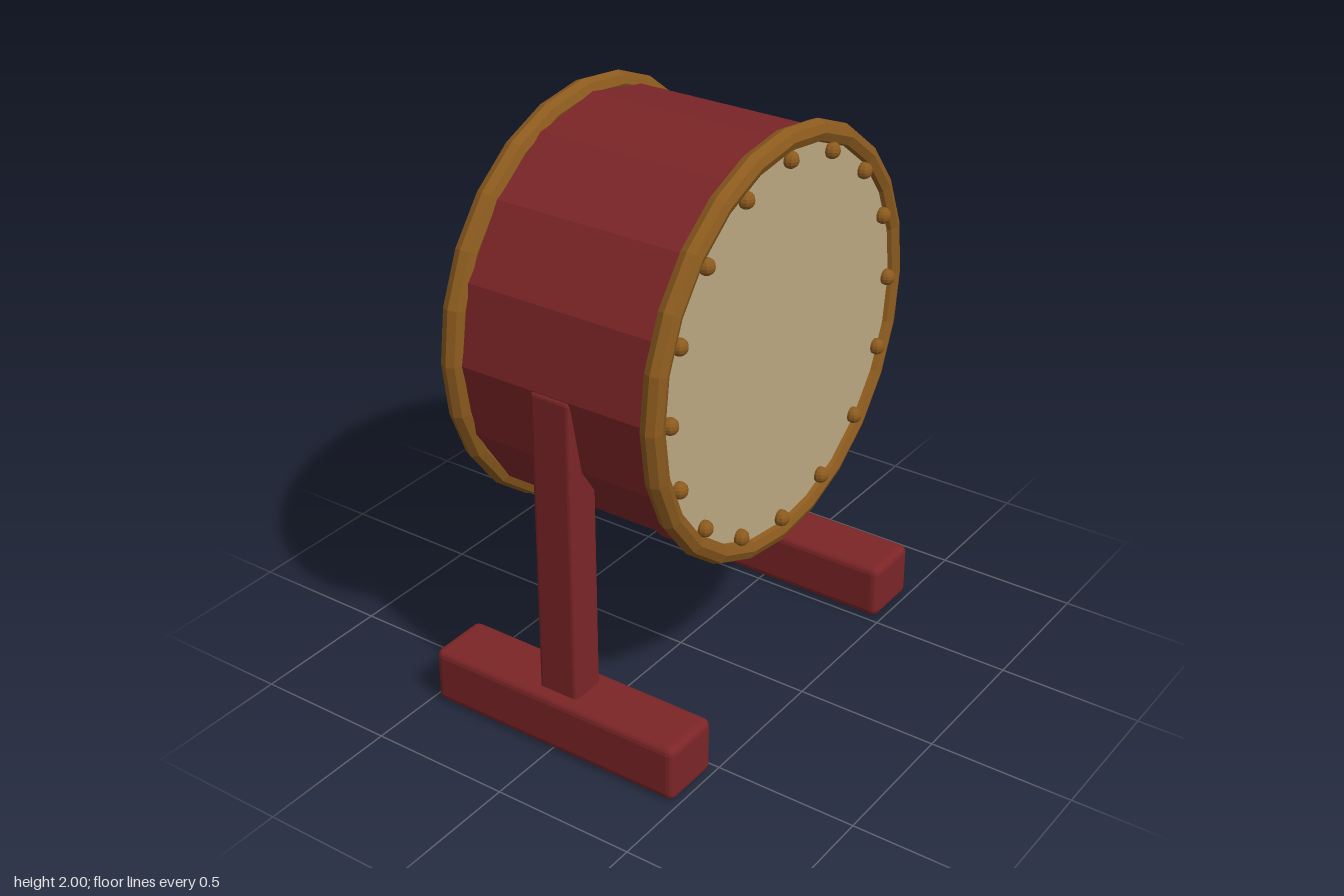
import * as THREE from 'three';
import { RoundedBoxGeometry } from 'three/addons/geometries/RoundedBoxGeometry.js';

const AXIS_Y = 1.28; // height of the drum's axis

export function createModel() {
  const drumStand = new THREE.Group();
  drumStand.name = 'drumOnStand';

  const material = (name, color, flatShading = true) => {
    const m = new THREE.MeshStandardMaterial({ color, flatShading });
    m.name = name;
    return m;
  };
  const redWood = material('red wood', 0x7c2527);
  const brassWood = material('golden brown', 0x8b5a1e);
  const hide = material('drum hide', 0xbba882);

  const add = (parent, name, geometry, mat, x = 0, y = 0, z = 0) => {
    const mesh = new THREE.Mesh(geometry, mat);
    mesh.name = name;
    mesh.position.set(x, y, z);
    parent.add(mesh);
    return mesh;
  };

  // Drum: faceted shell lying along z
  const drum = new THREE.Group();
  drum.name = 'drum';
  drum.position.y = AXIS_Y;
  drumStand.add(drum);
  const shell = new THREE.CylinderGeometry(0.685, 0.685, 0.74, 16).rotateX(Math.PI / 2);
  add(drum, 'shell', shell, redWood);

  // Each end: hide, rim and a circle of tacks
  const skinGeometry = new THREE.CylinderGeometry(0.655, 0.655, 0.03, 32).rotateX(Math.PI / 2);
  const rimGeometry = new THREE.TorusGeometry(0.682, 0.038, 8, 24);
  const tackGeometry = new THREE.SphereGeometry(0.028, 10, 8);
  for (const side of [1, -1]) {
    const end = new THREE.Group();
    end.name = side > 0 ? 'frontHead' : 'backHead';
    drum.add(end);
    add(end, 'skin', skinGeometry, hide, 0, 0, side * 0.375);
    add(end, 'rim', rimGeometry, brassWood, 0, 0, side * 0.377);
    for (let i = 0; i < 16; i++) {
      const a = (i / 16) * Math.PI * 2;
      add(end, 'tack', tackGeometry, brassWood,
        0.626 * Math.cos(a), 0.626 * Math.sin(a), side * 0.4);
    }
  }

  // Stand: one upright post on a long foot at each side
  const postGeometry = new RoundedBoxGeometry(0.13, 1.12, 0.15, 2, 0.015);
  const footGeometry = new RoundedBoxGeometry(0.22, 0.2, 0.965, 2, 0.026);
  for (const side of [1, -1]) {
    const support = new THREE.Group();
    support.name = side > 0 ? 'leftSupport' : 'rightSupport';
    support.position.x = side * 0.626;
    drumStand.add(support);
    add(support, 'post', postGeometry, redWood, 0, 0.72, 0);
    add(support, 'foot', footGeometry, redWood, 0, 0.1, 0);
  }
  return drumStand;
}
